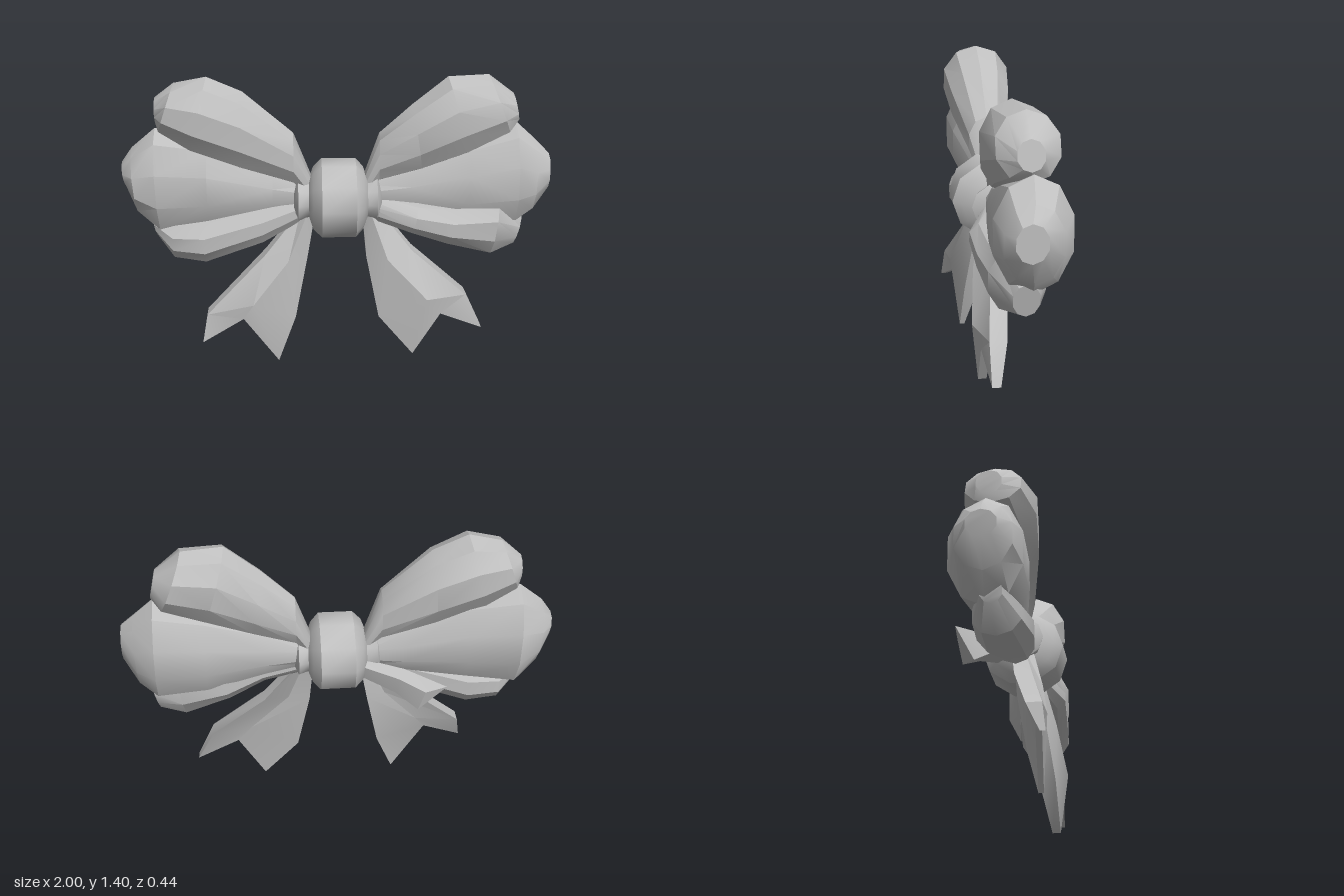
import * as THREE from 'three';
import { toCreasedNormals } from 'three/addons/utils/BufferGeometryUtils.js';

// Skin a list of equal-sized closed rings and close both ends with strips.
function loft(rings, crease) {
  const n = rings[0].length, last = (rings.length - 1) * n, index = [];
  const quad = (a, b, c, d) => index.push(a, b, c, a, c, d);
  for (let r = 0; r < rings.length - 1; r++)
    for (let i = 0; i < n; i++) {
      const j = (i + 1) % n;
      quad(r * n + i, r * n + j, (r + 1) * n + j, (r + 1) * n + i);
    }
  for (let i = 0; i < n / 2 - 1; i++) {
    quad(i, n - 1 - i, n - 2 - i, i + 1);
    quad(last + i, last + i + 1, last + n - 2 - i, last + n - 1 - i);
  }
  // Turn the skin outward if its enclosed volume is negative.
  const pts = rings.flat().map((p) => new THREE.Vector3(...p));
  let volume = 0;
  for (let i = 0; i < index.length; i += 3)
    volume += pts[index[i]].dot(pts[index[i + 1]].clone().cross(pts[index[i + 2]]));
  if (volume < 0) index.reverse();
  const geo = new THREE.BufferGeometry().setFromPoints(pts);
  geo.setIndex(index);
  return toCreasedNormals(geo, crease);
}

// Puffed pleat; each section is upper edge x, y, lower edge x, y, centre z, half depth.
function pleat(sections) {
  const n = 10;
  return loft(sections.map(([ax, ay, bx, by, z, d]) =>
    Array.from({ length: n }, (_, i) => {
      const a = (i / n) * Math.PI * 2, c = Math.cos(a), s = Math.sin(a);
      return [(ax + bx) / 2 + (ax - bx) / 2 * c, (ay + by) / 2 + (ay - by) / 2 * c, z + d * s];
    })), 0.5);
}

// Notched ribbon end; each section is outer, ridge and inner points plus half thickness.
function ribbon(sections) {
  return loft(sections.map(([o, c, i, t]) => {
    const at = (p, dz) => [p[0], p[1], p[2] + dz];
    return [at(o, t), at(c, t * 1.6), at(i, t), at(i, -t), at(c, -t * 0.8), at(o, -t)];
  }), 0.5);
}

export function createModel() {
  const bow = new THREE.Group();
  bow.name = 'bow';
  const fabric = new THREE.MeshStandardMaterial({ color: 0xbfbfbf });
  fabric.name = 'grey fabric';
  const add = (name, geo) => {
    const mesh = new THREE.Mesh(geo, fabric);
    mesh.name = name;
    bow.add(mesh);
    return mesh;
  };

  // Pleats of the two loops
  add('rightUpperPleat', pleat([
    [-0.12, 0.93, -0.12, 0.8, 0.01, 0.05], [-0.2, 1.14, -0.2, 0.89, 0.02, 0.09],
    [-0.43, 1.34, -0.45, 0.97, 0.02, 0.15], [-0.59, 1.41, -0.68, 1.06, 0.02, 0.17],
    [-0.74, 1.38, -0.82, 1.15, 0.01, 0.13], [-0.83, 1.31, -0.83, 1.19, 0, 0.06]]));
  add('rightMiddlePleat', pleat([
    [-0.12, 0.9, -0.12, 0.75, 0.01, 0.06], [-0.3, 0.97, -0.3, 0.72, 0, 0.09],
    [-0.6, 1.12, -0.6, 0.67, 0, 0.15], [-0.84, 1.16, -0.83, 0.64, -0.01, 0.17],
    [-0.95, 1.07, -0.93, 0.75, 0, 0.13], [-1, 1.0, -0.98, 0.88, 0, 0.07]]));
  add('rightLowerPleat', pleat([
    [-0.12, 0.84, -0.12, 0.73, 0.03, 0.05], [-0.35, 0.8, -0.35, 0.6, 0.04, 0.09],
    [-0.62, 0.75, -0.62, 0.51, 0.04, 0.13], [-0.77, 0.73, -0.77, 0.53, 0.03, 0.11],
    [-0.87, 0.74, -0.85, 0.64, 0.02, 0.05]]));
  add('leftUpperPleat', pleat([
    [0.13, 0.93, 0.13, 0.8, 0.01, 0.05], [0.2, 1.13, 0.2, 0.89, 0, 0.08],
    [0.35, 1.27, 0.4, 0.95, 0.01, 0.12], [0.51, 1.4, 0.62, 1.03, 0.01, 0.15],
    [0.7, 1.4, 0.81, 1.12, -0.02, 0.14], [0.82, 1.31, 0.85, 1.18, -0.02, 0.06]]));
  add('leftMiddlePleat', pleat([
    [0.13, 0.9, 0.13, 0.77, 0.01, 0.06], [0.35, 0.98, 0.35, 0.72, 0.01, 0.09],
    [0.62, 1.1, 0.62, 0.66, -0.01, 0.14], [0.84, 1.17, 0.85, 0.66, -0.03, 0.175],
    [0.94, 1.08, 0.93, 0.73, -0.02, 0.13], [1, 1.02, 1, 0.85, 0, 0.07]]));
  add('leftLowerPleat', pleat([
    [0.13, 0.84, 0.13, 0.72, 0.03, 0.05], [0.38, 0.82, 0.35, 0.66, 0.07, 0.11],
    [0.56, 0.8, 0.52, 0.59, 0.04, 0.13], [0.77, 0.84, 0.73, 0.52, 0.02, 0.13],
    [0.89, 0.72, 0.85, 0.56, 0, 0.06]]));

  // Hanging ribbon ends
  add('rightTail', ribbon([
    [[-0.17, 0.76, 0.02], [-0.14, 0.76, 0.04], [-0.1, 0.76, 0.02], 0.03],
    [[-0.34, 0.56, 0.07], [-0.23, 0.54, 0.08], [-0.14, 0.54, 0.05], 0.04],
    [[-0.62, 0.29, 0.16], [-0.4, 0.33, 0.13], [-0.2, 0.24, 0.1], 0.035],
    [[-0.645, 0.15, 0.2], [-0.45, 0.25, 0.15], [-0.285, 0.01, 0.14], 0.012]]));
  add('leftTail', ribbon([
    [[0.2, 0.76, 0.02], [0.16, 0.76, 0.04], [0.12, 0.76, 0.02], 0.03],
    [[0.36, 0.56, 0.04], [0.24, 0.54, 0.08], [0.14, 0.54, 0.06], 0.04],
    [[0.62, 0.34, 0.08], [0.43, 0.34, 0.11], [0.2, 0.24, 0.1], 0.04],
    [[0.705, 0.16, 0.1], [0.5, 0.25, 0.11], [0.37, 0.03, 0.12], 0.02]]));

  // Short loose end behind the right loop
  add('backTail', loft([
    [[-0.1, 0.82, -0.06], [-0.1, 0.8, -0.1], [-0.1, 0.73, -0.08], [-0.1, 0.75, -0.03]],
    [[-0.3, 0.79, -0.12], [-0.27, 0.76, -0.16], [-0.26, 0.67, -0.14], [-0.28, 0.7, -0.08]],
    [[-0.49, 0.74, -0.21], [-0.39, 0.72, -0.22], [-0.36, 0.61, -0.2], [-0.4, 0.61, -0.14]],
  ], 0.5));

  // Knot band with its gathered collars, turned around the x axis
  const profile = [[0, -0.2], [0.07, -0.2], [0.115, -0.18], [0.1, -0.13], [0.155, -0.11],
    [0.195, -0.07], [0.195, 0.09], [0.155, 0.125], [0.1, 0.145], [0.115, 0.19], [0.07, 0.21], [0, 0.21]];
  const knotGeo = new THREE.LatheGeometry(profile.map(([r, y]) => new THREE.Vector2(r, y)), 10);
  knotGeo.rotateZ(-Math.PI / 2).scale(1, 0.96, 1).translate(0, 0.815, 0.025);
  add('knot', toCreasedNormals(knotGeo, 0.68));

  return bow;
}
